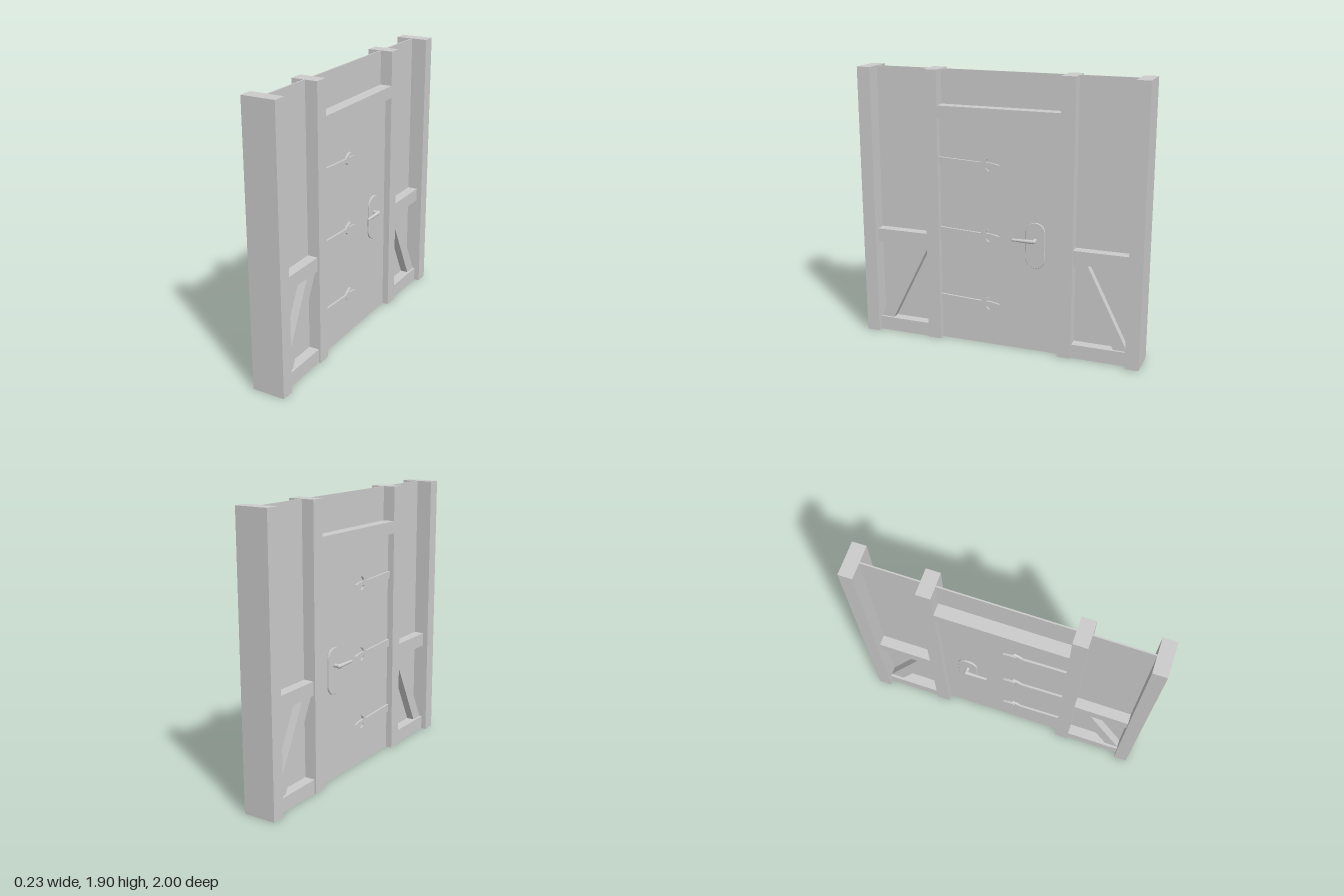
import * as THREE from 'three';

const H = 1.905;
const mat = new THREE.MeshStandardMaterial({ color: 0xcccccc });

function add(parent, name, geo) {
  const m = new THREE.Mesh(geo, mat);
  m.name = name;
  parent.add(m);
  return m;
}

// Box given by its minimum and maximum on each axis
function box(parent, name, x0, x1, y0, y1, z0, z1) {
  const m = add(parent, name, new THREE.BoxGeometry(x1 - x0, y1 - y0, z1 - z0));
  m.position.set((x0 + x1) / 2, (y0 + y1) / 2, (z0 + z1) / 2);
  return m;
}

// Shape drawn in (-z, y), extruded along x from x0 to x1
function slab(parent, name, shape, x0, x1, bevel = 0) {
  const geo = new THREE.ExtrudeGeometry(shape, {
    depth: x1 - x0 - 2 * bevel, curveSegments: 16, bevelEnabled: bevel > 0,
    bevelSize: bevel, bevelThickness: bevel, bevelOffset: -bevel, bevelSegments: 1,
  });
  geo.rotateY(Math.PI / 2).translate(x0 + bevel, 0, 0);
  return add(parent, name, geo);
}

// Polygon from [z, y] points
const poly = (pts) => new THREE.Shape(pts.map(([z, y]) => new THREE.Vector2(-z, y)));

// Strap hinge: tapered bar, two curled barbs and a spear tip
function hingeShape() {
  const s = new THREE.Shape();
  s.moveTo(-0.43, -0.027);
  s.lineTo(-0.13, -0.013);
  s.quadraticCurveTo(-0.115, -0.035, -0.072, -0.046);
  s.quadraticCurveTo(-0.1, -0.03, -0.092, -0.014);
  s.quadraticCurveTo(-0.045, -0.014, 0, 0);
  s.quadraticCurveTo(-0.045, 0.014, -0.092, 0.014);
  s.quadraticCurveTo(-0.1, 0.03, -0.072, 0.046);
  s.quadraticCurveTo(-0.115, 0.035, -0.13, 0.013);
  s.lineTo(-0.43, 0.027);
  s.closePath();
  return s;
}

// Escutcheon plate with round ends
function plateShape() {
  const s = new THREE.Shape(), r = 0.068, z = -0.257;
  s.absarc(-z, 0.92 - r, r, 0, Math.PI);
  s.absarc(-z, 0.60 + r, r, Math.PI, 2 * Math.PI);
  s.closePath();
  return s;
}

export function createModel() {
  const root = new THREE.Group();
  root.name = 'doorWall';

  // Thin wall sheet running the full length
  box(root, 'wallPanel', -0.005, 0.005, 0, H, -0.95, 0.95);

  // Door frame: two posts joined by a lintel, in one flush piece
  slab(root, 'doorFrame', poly([
    [0.525, 0], [0.43, 0], [0.43, 1.585], [-0.43, 1.585], [-0.43, 0], [-0.525, 0],
    [-0.525, H], [-0.43, H], [-0.43, 1.67], [0.43, 1.67], [0.43, H], [0.525, H],
  ]), -0.09, 0.09);

  // Door leaf, recessed in the frame
  box(root, 'doorLeaf', -0.045, 0.045, 0, 1.585, -0.43, 0.43);

  // Side bays, mirrored in z
  for (const s of [1, -1]) {
    const bay = new THREE.Group();
    bay.name = s > 0 ? 'frontBay' : 'backBay';
    root.add(bay);
    const span = (a, b) => (s > 0 ? [a, b] : [-b, -a]);
    box(bay, 'endPost', -0.115, 0.115, 0, H, ...span(0.907, 1));
    box(bay, 'middleRail', -0.078, 0.076, 0.67, 0.765, ...span(0.525, 0.907));
    box(bay, 'bottomRail', -0.078, 0.076, 0, 0.098, ...span(0.525, 0.907));
    slab(bay, 'brace', poly([
      [0.907 * s, 0.098], [0.812 * s, 0.098], [0.525 * s, 0.67], [0.62 * s, 0.67],
    ]), -0.06, 0.06);
  }

  // Ironwork on both faces of the door
  for (const s of [1, -1]) {
    const iron = new THREE.Group();
    iron.name = s > 0 ? 'leftIronwork' : 'rightIronwork';
    root.add(iron);
    const range = (a, b) => (s > 0 ? [a, b] : [-b, -a]);

    for (const y of [1.29, 0.797, 0.305]) {
      slab(iron, 'strapHinge', hingeShape(), ...range(0.043, 0.06)).position.y = y;
    }

    slab(iron, 'handlePlate', plateShape(), ...range(0.043, 0.057), 0.003);

    // Spindle and tapered lever
    const spindle = add(iron, 'handleSpindle', new THREE.CylinderGeometry(0.013, 0.013, 0.05, 20));
    spindle.rotation.z = Math.PI / 2;
    spindle.position.set(s * 0.072, 0.8, -0.257);
    const knuckle = add(iron, 'handleKnuckle', new THREE.SphereGeometry(0.015, 20, 14));
    knuckle.position.set(s * 0.091, 0.8, -0.257);
    const lever = add(iron, 'handleLever',
      new THREE.CylinderGeometry(0.009, 0.014, 0.15, 20).rotateX(Math.PI / 2));
    lever.position.set(s * 0.091, 0.798, -0.182);
  }

  return root;
}
